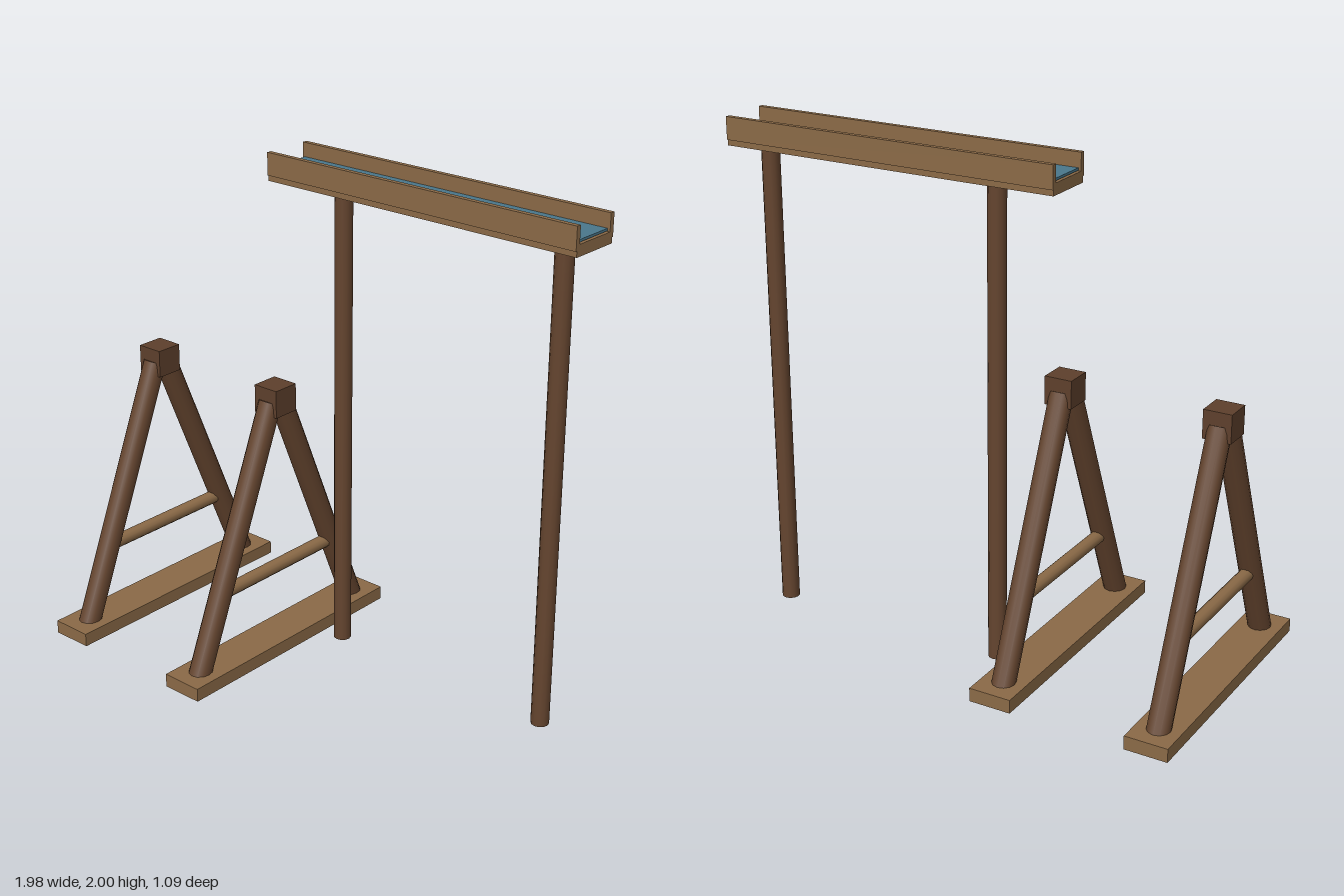
import * as THREE from 'three';

const mat = (name, color) => {
  const m = new THREE.MeshStandardMaterial({ color });
  m.name = name;
  return m;
};

export function createModel() {
  const timber = mat('dark timber', 0x65452f);
  const block = mat('block timber', 0x5e402c);
  const plank = mat('plank wood', 0x8b6a47);
  const water = mat('water', 0x4a788c);

  const box = (parent, name, material, size, pos) => {
    const m = new THREE.Mesh(new THREE.BoxGeometry(...size), material);
    m.name = name;
    m.position.set(...pos);
    parent.add(m);
  };

  // Round pole between two points
  const pole = (parent, name, material, radius, from, to) => {
    const a = new THREE.Vector3(...from), b = new THREE.Vector3(...to);
    const dir = b.clone().sub(a);
    const m = new THREE.Mesh(new THREE.CylinderGeometry(radius, radius, dir.length(), 12), material);
    m.name = name;
    m.position.copy(a).add(b).multiplyScalar(0.5);
    m.quaternion.setFromUnitVectors(new THREE.Vector3(0, 1, 0), dir.normalize());
    parent.add(m);
  };

  const model = new THREE.Group();
  model.name = 'waterTroughAndTrestles';

  // Two A-shaped trestles
  for (const x of [-0.905, -0.275]) {
    const trestle = new THREE.Group();
    trestle.name = 'trestle';
    trestle.position.x = x;
    box(trestle, 'basePlank', plank, [0.17, 0.054, 1.086], [0, 0.05, 0]);
    for (const s of [1, -1]) {
      pole(trestle, 'leg', timber, 0.045, [0, 0.018, s * 0.463], [0, 1.073, s * 0.027]);
    }
    pole(trestle, 'crossBar', plank, 0.027, [0, 0.365, -0.3], [0, 0.365, 0.3]);
    box(trestle, 'topBlock', block, [0.11, 0.11, 0.11], [0, 1.083, -0.002]);
    model.add(trestle);
  }

  // Raised trough on two posts
  const flume = new THREE.Group();
  flume.name = 'raisedTrough';
  flume.position.z = -0.2;
  for (const x of [-0.105, 0.87]) {
    pole(flume, 'post', timber, 0.035, [x, 0.022, 0], [x, 1.9, 0]);
  }
  box(flume, 'troughFloor', plank, [1.37, 0.043, 0.206], [0.3, 1.9125, 0]);
  for (const s of [1, -1]) {
    box(flume, 'troughWall', plank, [1.37, 0.087, 0.02], [0.3, 1.9565, s * 0.098]);
  }
  box(flume, 'waterSurface', water, [1.35, 0.009, 0.176], [0.3, 1.9405, 0]);
  model.add(flume);

  return model;
}
